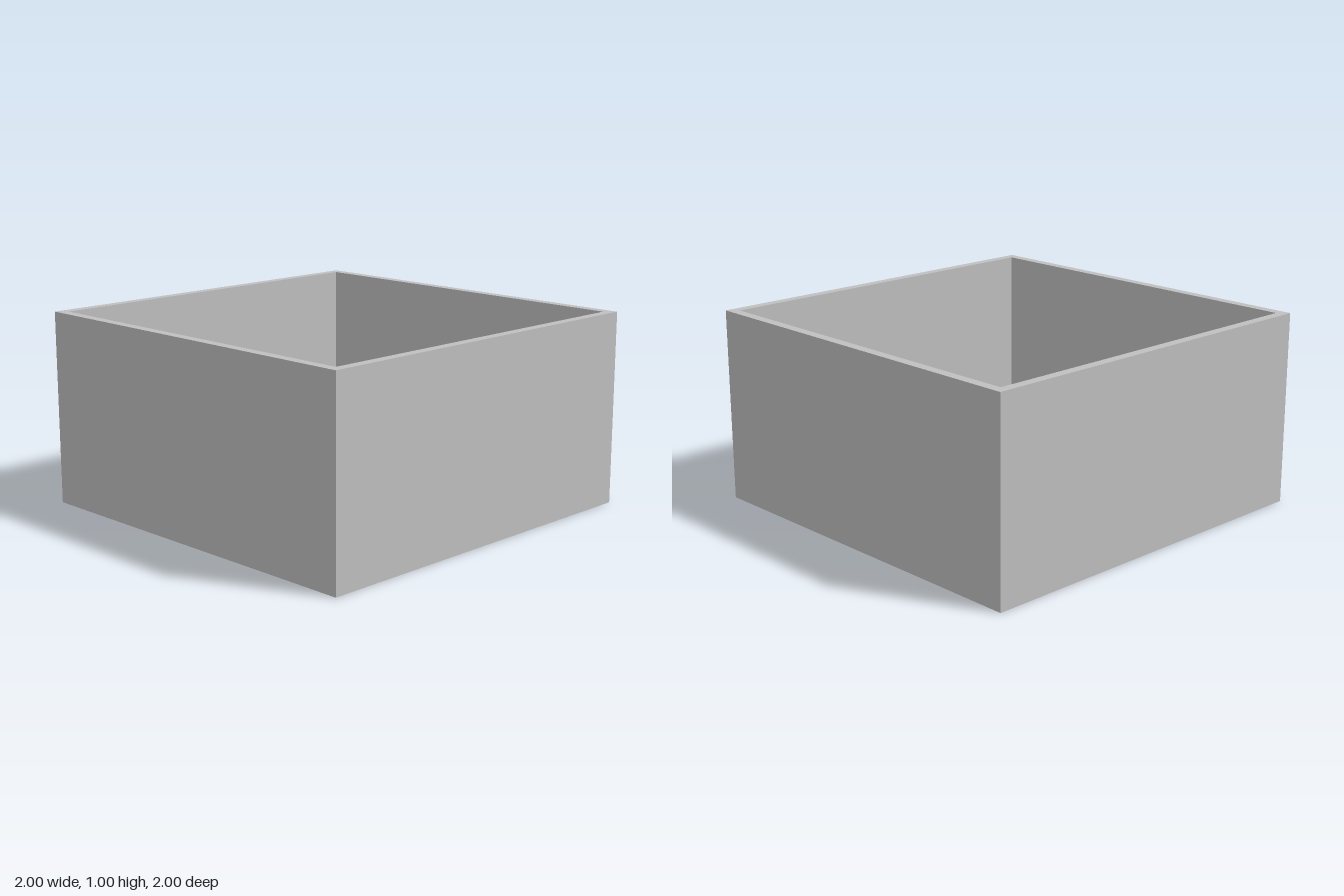
import * as THREE from 'three';
import { RoundedBoxGeometry } from 'three/addons/geometries/RoundedBoxGeometry.js';

const mat = (name, color) => Object.assign(new THREE.MeshStandardMaterial({ color }), { name });

export function createModel() {
  const stone = mat('wall grey', 0xbfbfbf);
  const dark = mat('charcoal', 0x404040);
  const wood = mat('brown wood', 0x654321);
  const teal = mat('teal', 0x4a8ca0);
  const pale = mat('pale grey', 0xcccccc);

  const root = new THREE.Group();
  const group = (name, x, z, y = 0) => {
    const g = new THREE.Group();
    g.name = name;
    g.position.set(x, y, z);
    root.add(g);
    return g;
  };
  const add = (parent, name, geo, material, x = 0, y = 0, z = 0) => {
    const m = new THREE.Mesh(geo, material);
    m.name = name;
    m.position.set(x, y, z);
    parent.add(m);
    return m;
  };
  const box = (w, h, d) => new THREE.BoxGeometry(w, h, d);
  const FLOOR = 0.015;

  // Open-topped room: a square wall ring around a thin floor
  const room = group('room', 0, 0);
  const square = (path, r) => path.moveTo(-r, -r).lineTo(r, -r).lineTo(r, r).lineTo(-r, r).closePath();
  const ring = square(new THREE.Shape(), 1);
  ring.holes.push(square(new THREE.Path(), 0.95));
  const wallGeo = new THREE.ExtrudeGeometry(ring, { depth: 1, bevelEnabled: false });
  wallGeo.rotateX(-Math.PI / 2);
  add(room, 'walls', wallGeo, stone);
  add(room, 'floor', box(1.9, FLOOR, 1.9), stone, 0, FLOOR / 2, 0);

  // Round pedestal table
  const table = group('roundTable', -0.52, -0.485, FLOOR);
  add(table, 'tableTop', new THREE.CylinderGeometry(0.163, 0.163, 0.015, 48), dark, 0, 0.382, 0);
  add(table, 'tablePost', new THREE.CylinderGeometry(0.013, 0.013, 0.37, 20), dark, 0, 0.19, 0);
  add(table, 'tableBase', new THREE.CylinderGeometry(0.085, 0.09, 0.014, 40), dark, 0, 0.007, 0);

  // Wooden chair facing the table, with a slatted back
  const chair = group('chair', -0.515, -0.232, FLOOR);
  add(chair, 'seat', new RoundedBoxGeometry(0.2, 0.024, 0.2, 3, 0.01), wood, 0, 0.213, 0);
  add(chair, 'seatPad', new RoundedBoxGeometry(0.165, 0.014, 0.165, 3, 0.006), wood, 0, 0.227, 0);
  for (const sx of [-1, 1]) {
    for (const sz of [-1, 1]) {
      add(chair, 'chairLeg', box(0.02, 0.205, 0.02), wood, sx * 0.08, 0.1025, sz * 0.08);
    }
    add(chair, 'sideStretcher', box(0.01, 0.012, 0.15), wood, sx * 0.08, 0.08, 0);
  }
  const back = new THREE.Group();
  back.name = 'chairBack';
  back.position.set(0, 0.21, 0.09);
  back.rotation.x = 0.09;
  chair.add(back);
  add(back, 'topRail', new RoundedBoxGeometry(0.17, 0.032, 0.016, 3, 0.005), wood, 0, 0.192, 0);
  add(back, 'lowerRail', box(0.15, 0.016, 0.012), wood, 0, 0.055, 0);
  for (const sx of [-1, 1]) add(back, 'backPost', box(0.018, 0.185, 0.016), wood, sx * 0.075, 0.0925, 0);
  for (let i = -2; i <= 2; i++) add(back, 'backSlat', box(0.012, 0.13, 0.008), wood, i * 0.026, 0.12, 0);

  // Soft square stool
  const stool = group('stool', 0.334, -0.15, FLOOR);
  add(stool, 'stoolCushion', new RoundedBoxGeometry(0.197, 0.2, 0.197, 4, 0.014), teal, 0, 0.1, 0);

  // Square work table
  const desk = group('workTable', 0.538, -0.535, FLOOR);
  const deskTop = 0.36;
  add(desk, 'workTableTop', box(0.326, 0.02, 0.328), pale, 0, deskTop - 0.01, 0);
  for (const sx of [-1, 1]) for (const sz of [-1, 1]) {
    add(desk, 'workTableLeg', box(0.024, deskTop - 0.02, 0.024), pale, sx * 0.145, (deskTop - 0.02) / 2, sz * 0.145);
  }

  // Tapered knife lying at the back of the work table
  const blade = new THREE.Shape();
  blade.moveTo(-0.06, 0).quadraticCurveTo(0, 0.011, 0.06, 0.002).lineTo(0.06, -0.002).lineTo(-0.06, 0);
  const bladeGeo = new THREE.ExtrudeGeometry(blade, { depth: 0.006, bevelEnabled: false });
  bladeGeo.rotateX(-Math.PI / 2);
  add(desk, 'knife', bladeGeo, dark, -0.032, deskTop, -0.095);

  // Pen with a narrow tip
  const pen = new THREE.Group();
  pen.name = 'pen';
  pen.position.set(-0.126, deskTop + 0.008, 0.005);
  pen.rotation.x = -Math.PI / 2;
  desk.add(pen);
  add(pen, 'penBody', new THREE.CylinderGeometry(0.008, 0.008, 0.07, 16), teal);
  add(pen, 'penTip', new THREE.CylinderGeometry(0.003, 0.005, 0.014, 12), teal, 0, 0.042, 0);

  // Scissors: two crossing blades, each ending in a finger ring
  const scissors = new THREE.Group();
  scissors.name = 'scissors';
  scissors.position.set(0.03, deskTop + 0.005, 0.088);
  scissors.rotation.y = 0.64;
  desk.add(scissors);
  for (const s of [-1, 1]) {
    const half = new THREE.Group();
    half.name = 'scissorHalf';
    half.rotation.y = s * 0.1;
    scissors.add(half);
    const edge = new THREE.Shape();
    edge.moveTo(-0.07, 0).lineTo(0.005, 0.008).lineTo(0.03, 0.004).lineTo(0.03, -0.004).lineTo(0.005, -0.006).closePath();
    const geo = new THREE.ExtrudeGeometry(edge, { depth: 0.004, bevelEnabled: false });
    geo.rotateX(-Math.PI / 2);
    add(half, 'scissorBlade', geo, dark, 0, s * 0.001 - 0.002, 0);
    const loop = new THREE.TorusGeometry(0.013, 0.004, 10, 24);
    loop.rotateX(Math.PI / 2);
    add(half, 'fingerRing', loop, dark, 0.042, 0, -s * 0.011);
  }
  return root;
}
